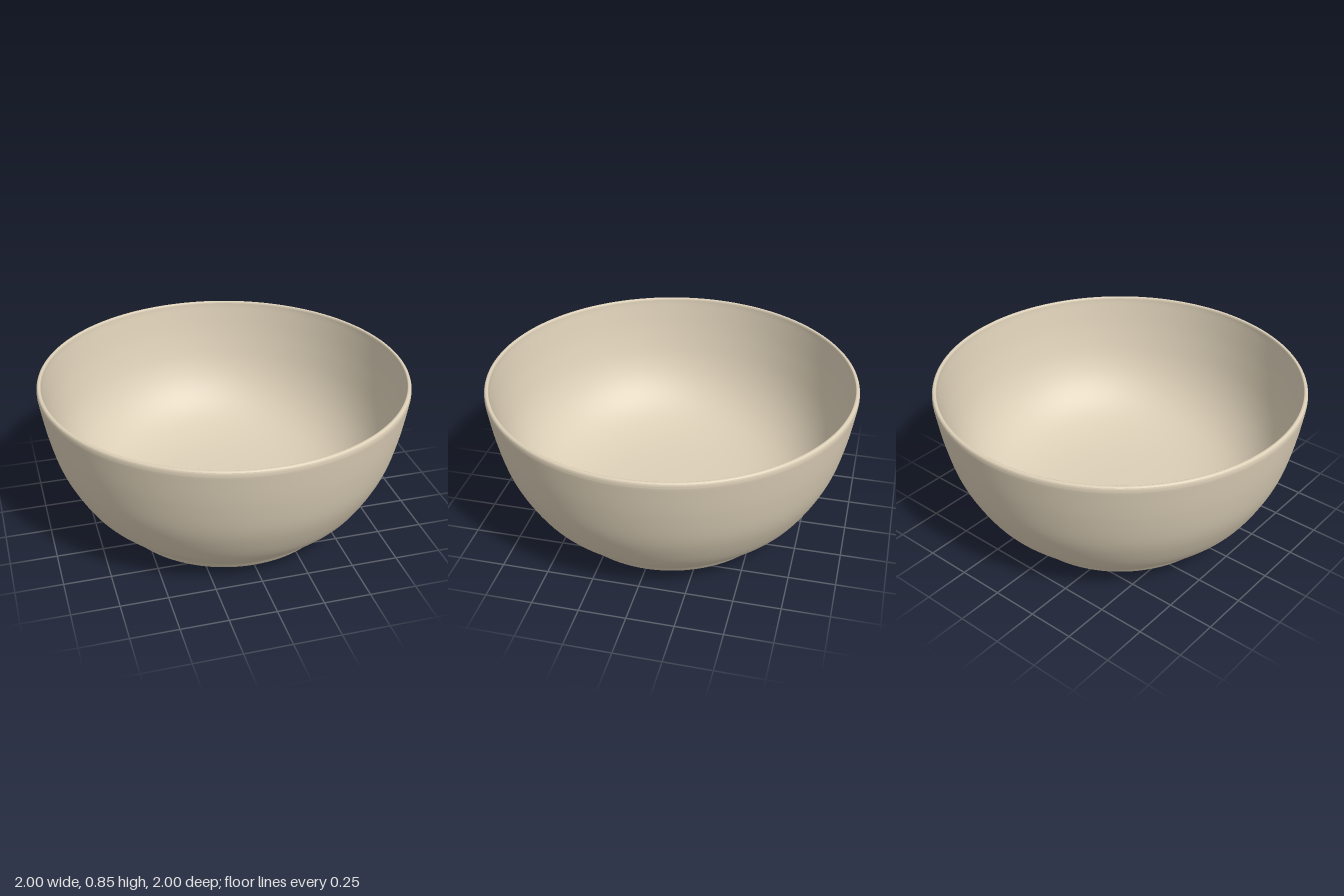
import * as THREE from 'three';

const SEGMENTS = 128;

// Smooth profile curve through a few [radius, height] points
function smoothProfile(points, divisions) {
  const curve = new THREE.SplineCurve(points.map(([r, y]) => new THREE.Vector2(r, y)));
  return curve.getPoints(divisions).map((p) => new THREE.Vector2(Math.max(p.x, 0), p.y));
}

export function createModel() {
  const bowl = new THREE.Group();
  bowl.name = 'bowl';

  const glaze = new THREE.MeshStandardMaterial({ color: 0xdccfb7 });
  glaze.name = 'beige glaze';

  function addTurned(name, profile) {
    const mesh = new THREE.Mesh(new THREE.LatheGeometry(profile, SEGMENTS), glaze);
    mesh.name = name;
    bowl.add(mesh);
  }

  // Recessed flat underside
  addTurned('underside', [new THREE.Vector2(0, 0.053), new THREE.Vector2(0.522, 0.053)]);

  // Rounded foot ring flaring smoothly into the curved outer wall
  addTurned('footAndOuterWall', smoothProfile([
    [0.522, 0.053], [0.538, 0.022], [0.56, 0.004], [0.585, 0], [0.607, 0.002],
    [0.626, 0.02], [0.653, 0.058], [0.715, 0.113], [0.798, 0.2], [0.873, 0.325],
    [0.928, 0.455], [0.97, 0.625], [0.997, 0.79], [1, 0.825], [0.997, 0.839],
  ], 112));

  // Thin rounded rim
  addTurned('rim', smoothProfile([
    [0.997, 0.839], [0.992, 0.844], [0.985, 0.845], [0.979, 0.843], [0.976, 0.835],
  ], 12));

  // Inner surface: thicker toward the base, rounding down to a dished floor
  addTurned('innerWall', smoothProfile([
    [0.976, 0.835], [0.97, 0.79], [0.94, 0.63], [0.893, 0.465], [0.825, 0.335],
    [0.73, 0.235], [0.61, 0.17], [0.45, 0.13], [0.25, 0.112], [0, 0.107],
  ], 64));

  return bowl;
}
